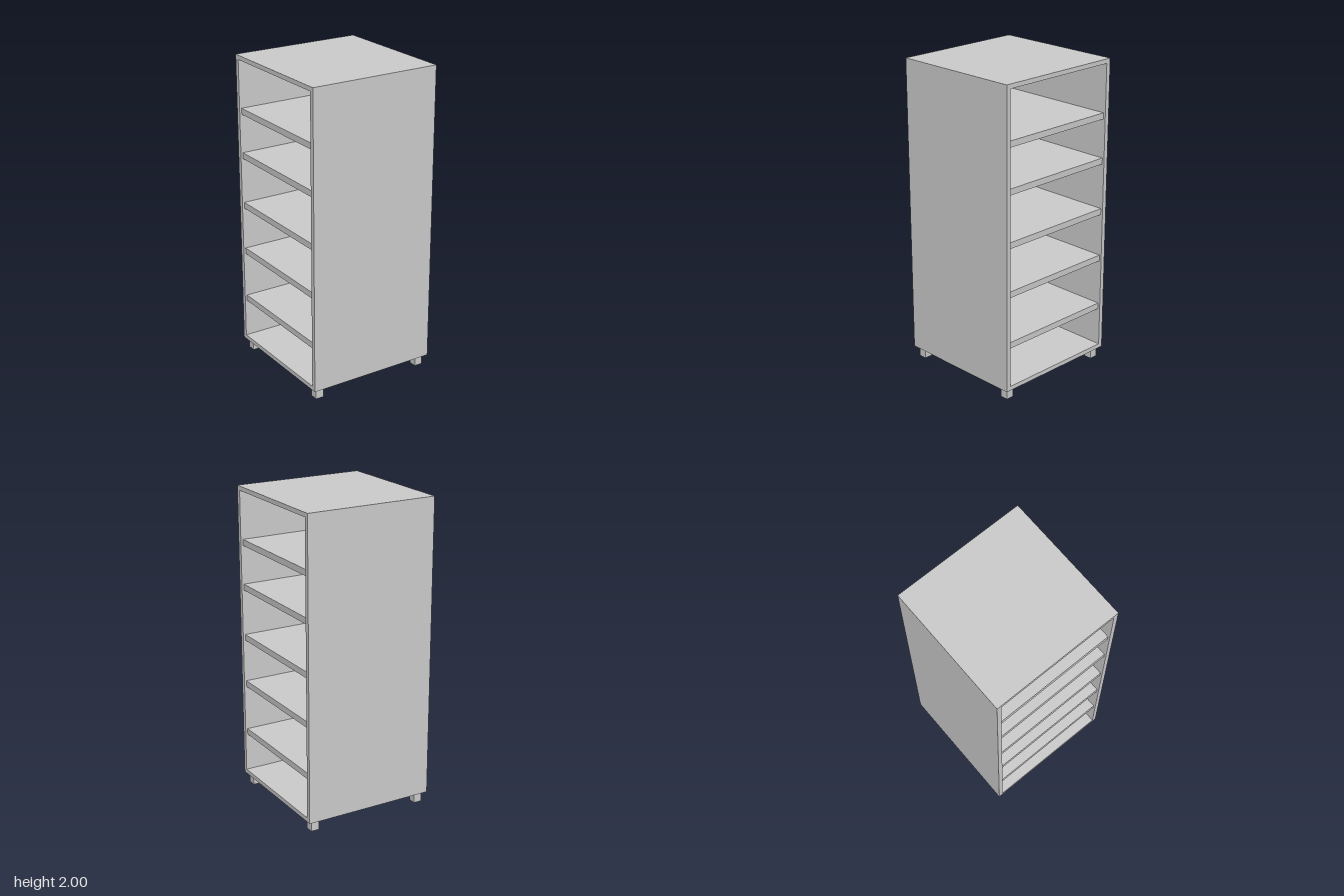
import * as THREE from 'three';

const material = new THREE.MeshStandardMaterial({ color: 0xcccccc });

// Box given by its minimum and maximum corners
function box(parent, name, [x0, y0, z0], [x1, y1, z1]) {
  const mesh = new THREE.Mesh(new THREE.BoxGeometry(x1 - x0, y1 - y0, z1 - z0), material);
  mesh.position.set((x0 + x1) / 2, (y0 + y1) / 2, (z0 + z1) / 2);
  mesh.name = name;
  parent.add(mesh);
}

export function createModel() {
  const model = new THREE.Group();
  model.name = 'shelfCabinet';

  const X = 0.432, Z = 0.435, inner = 0.405;
  const base = 0.069, top = 2, board = 0.028, band = 0.004;

  // A board with a thin edging strip along its -x edge
  function edgedBoard(name, x, y0, y1, z0, z1) {
    const group = new THREE.Group();
    group.name = name;
    box(group, 'board', [-x + band, y0, z0], [x, y1, z1]);
    box(group, 'edgeStrip', [-x, y0, z0], [-x + band, y1, z1]);
    model.add(group);
  }

  // Carcass, open on both x sides
  edgedBoard('frontPanel', X, base, top, inner, Z);
  edgedBoard('backPanel', X, base, top, -Z, -inner);
  edgedBoard('topPanel', X, top - board, top, -inner, inner);
  edgedBoard('bottomPanel', X, base, base + board, -inner, inner);

  // Shelves, slightly recessed from the open sides
  for (const y of [0.346, 0.682, 0.998, 1.332, 1.622]) {
    edgedBoard('shelf', X - 0.014, y, y + 0.04, -inner, inner);
  }

  // Square feet
  for (const sx of [-1, 1]) for (const sz of [-1, 1]) {
    const cx = sx * 0.38, cz = sz * 0.383, h = 0.027;
    box(model, 'foot', [cx - h, 0, cz - h], [cx + h, base, cz + h]);
  }

  return model;
}
